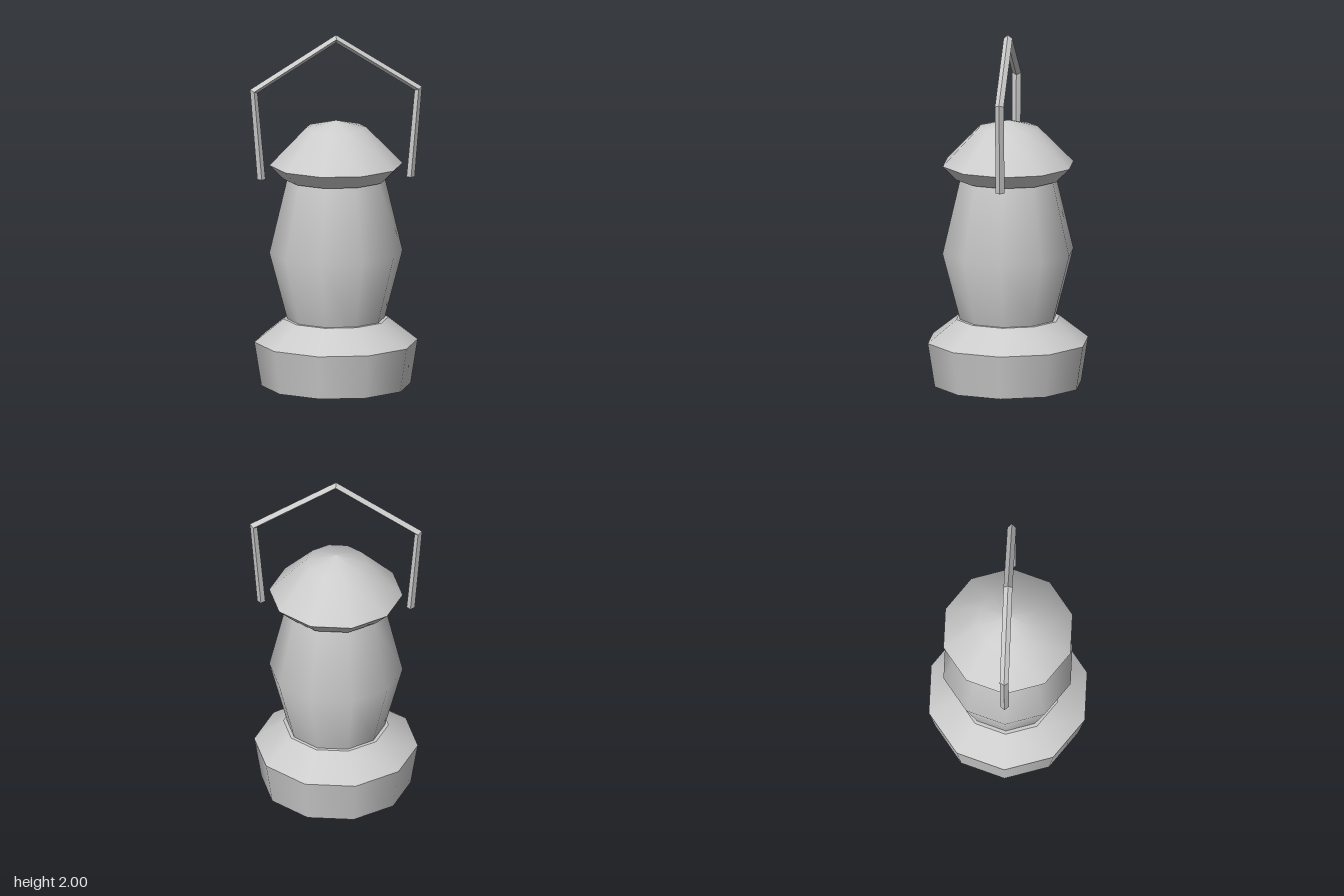
import * as THREE from 'three';

const SIDES = 10;
const metal = new THREE.MeshStandardMaterial({ color: 0xcccccc });
metal.name = 'grey metal';

// Ten-sided surface of revolution with a corner on the x axis; points are [radius, y], bottom to top
function turned(name, points) {
  const profile = points.map(([r, y]) => new THREE.Vector2(r, y));
  const mesh = new THREE.Mesh(new THREE.LatheGeometry(profile, SIDES, Math.PI / 2), metal);
  mesh.name = name;
  return mesh;
}

// Mitred bail handle with a diamond section; stations are [outer x, outer y, inner x, inner y]
function makeHandle(stations, halfWidth) {
  const rings = stations.map(([ox, oy, ix, iy]) => {
    const mx = (ox + ix) / 2, my = (oy + iy) / 2;
    return [[ox, oy, 0], [mx, my, halfWidth], [ix, iy, 0], [mx, my, -halfWidth]];
  });
  const positions = [];
  const quad = (a, b, c, d) => positions.push(...a, ...b, ...c, ...a, ...c, ...d);
  for (let i = 0; i < rings.length - 1; i++) {
    for (let j = 0; j < 4; j++) {
      const k = (j + 1) % 4;
      quad(rings[i][j], rings[i][k], rings[i + 1][k], rings[i + 1][j]);
    }
  }
  // End caps
  const first = rings[0], last = rings[rings.length - 1];
  quad(first[3], first[2], first[1], first[0]);
  quad(...last);
  const geometry = new THREE.BufferGeometry();
  geometry.setAttribute('position', new THREE.Float32BufferAttribute(positions, 3));
  geometry.computeVertexNormals();
  const mesh = new THREE.Mesh(geometry, metal);
  mesh.name = 'handle';
  return mesh;
}

export function createModel() {
  const lantern = new THREE.Group();
  lantern.name = 'lantern';

  // Base: underside, flared wall, sloped shoulder and narrow ledge
  const base = new THREE.Group();
  base.name = 'base';
  base.add(
    turned('baseUnderside', [[0, 0], [0.42, 0]]),
    turned('baseWall', [[0.42, 0], [0.46, 0.25]]),
    turned('baseShoulder', [[0.46, 0.25], [0.295, 0.38]]),
    turned('baseLedge', [[0.295, 0.38], [0, 0.38]])
  );

  // Bulging globe, smooth through its widest ring
  const globe = turned('globe', [[0.275, 0.38], [0.375, 0.76], [0.275, 1.18]]);

  // Cap: underside, undercut rim and smooth dome
  const cap = new THREE.Group();
  cap.name = 'cap';
  cap.add(
    turned('capUnderside', [[0, 1.18], [0.295, 1.18]]),
    turned('capRim', [[0.295, 1.18], [0.375, 1.26]]),
    turned('capDome', [[0.375, 1.26], [0.17, 1.47], [0, 1.512]])
  );

  // Handle, mirrored about its peak
  const half = [[0.443, 1.18, 0.397, 1.18], [0.484, 1.695, 0.442, 1.675]];
  const mirrored = half.map(([ox, oy, ix, iy]) => [-ox, oy, -ix, iy]);
  const handle = makeHandle([...mirrored, [0, 2, 0, 1.955], ...half.reverse()], 0.025);

  lantern.add(base, globe, cap, handle);
  return lantern;
}
